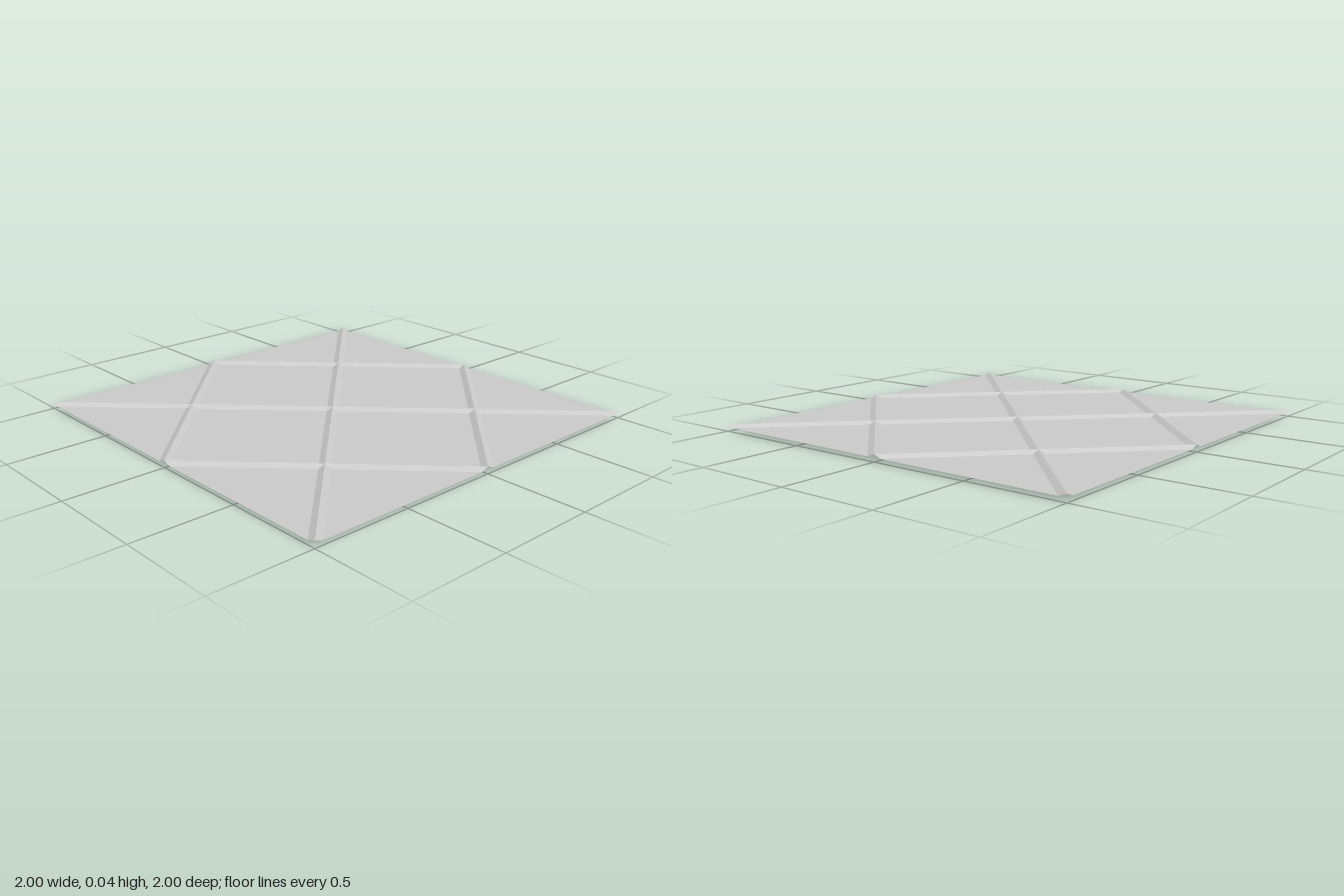
import * as THREE from 'three';

const FLOOR = 0.02, PEAK = 0.035, HALF = 0.5, INNER = 0.46;

// Flat-shaded mesh from a list of polygons, each an array of [x, y, z] corners
function facetMesh(name, polygons) {
  const pos = [];
  for (const p of polygons)
    for (let i = 1; i < p.length - 1; i++) pos.push(...p[0], ...p[i], ...p[i + 1]);
  const geometry = new THREE.BufferGeometry();
  geometry.setAttribute('position', new THREE.Float32BufferAttribute(pos, 3));
  geometry.computeVertexNormals();
  const material = new THREE.MeshStandardMaterial({
    color: 0xcccccc, flatShading: true, side: THREE.DoubleSide,
  });
  const mesh = new THREE.Mesh(geometry, material);
  mesh.name = name;
  return mesh;
}

// Diamond trays whose raised rims meet to form the diagonal ridges
function addSheet(group) {
  const floors = [], ridges = [];
  for (let i = -2; i <= 2; i++) for (let j = -2; j <= 2; j++) {
    if ((i + j) % 2 === 0) continue;
    const cx = i * HALF, cz = j * HALF;
    for (const sx of [-1, 1]) for (const sz of [-1, 1]) {
      // keep only the quarters inside the square
      if (Math.abs(cx + sx * HALF) > 1 || Math.abs(cz + sz * HALF) > 1) continue;
      const innerX = [cx + sx * INNER, FLOOR, cz], innerZ = [cx, FLOOR, cz + sz * INNER];
      const outerX = [cx + sx * HALF, PEAK, cz], outerZ = [cx, PEAK, cz + sz * HALF];
      const floor = [[cx, FLOOR, cz], innerZ, innerX];
      const slope = [innerX, innerZ, outerZ, outerX];
      if (sx * sz < 0) { floor.reverse(); slope.reverse(); }
      floors.push(floor);
      ridges.push(slope);
    }
  }
  group.add(facetMesh('panelFloor', floors), facetMesh('diagonalRidges', ridges));
}

// Bevelled pad under the panel: rim at the panel, smaller face at the ground
const PAD_RIM = [[-0.3, 0], [0.3, 0], [0.015, 0.285], [-0.12, 0.2]];
const PAD_FACE = [[-0.26, 0.018], [0.255, 0.018], [0.008, 0.262], [-0.105, 0.192]];

function makePad() {
  const rim = PAD_RIM.map(([u, v]) => [u, FLOOR, -v]);
  const face = PAD_FACE.map(([u, v]) => [u, 0, -v]);
  const polygons = [[...face].reverse()];
  rim.forEach((r, i) => {
    const j = (i + 1) % rim.length;
    polygons.push([face[i], face[j], rim[j], r]);
  });
  return facetMesh('undersidePad', polygons);
}

export function createModel() {
  const group = new THREE.Group();
  group.name = 'ridgedPanel';
  addSheet(group);

  // Pads in two columns, every other row turned half a turn
  const rows = [[0.975, 0], [0.06, Math.PI], [-0.035, 0], [-0.945, Math.PI]];
  for (const x of [-0.5, 0.5]) for (const [z, turn] of rows) {
    const pad = makePad();
    pad.position.set(x, 0, z);
    pad.rotation.y = turn;
    group.add(pad);
  }
  return group;
}
